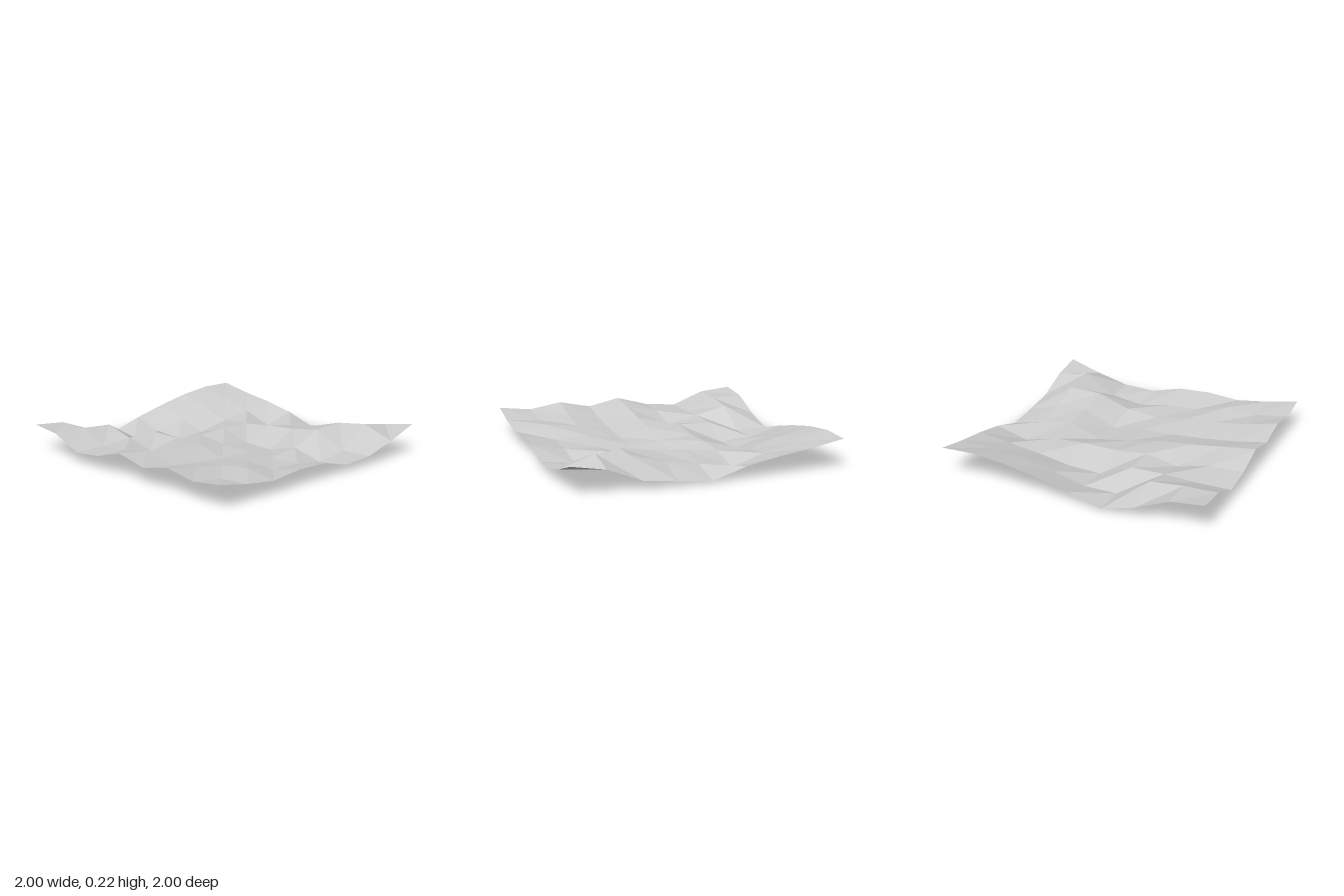
import * as THREE from 'three';

// Ground heights on a 9 x 9 grid, one row per step from back (-z) to front (+z)
const heights = [
  [0.20, 0.175, 0.075, 0.01, 0.085, 0.145, 0.195, 0.225, 0.22],
  [0.178, 0.175, 0.157, 0.01, 0.015, 0.08, 0.14, 0.16, 0.175],
  [0.083, 0.085, 0.10, 0.10, 0.0, 0.013, 0.063, 0.10, 0.14],
  [0.108, 0.105, 0.05, 0.10, 0.08, 0.09, 0.08, 0.02, 0.092],
  [0.178, 0.15, 0.12, 0.10, 0.055, 0.02, 0.11, 0.07, 0.015],
  [0.128, 0.09, 0.065, 0.05, 0.045, 0.013, 0.13, 0.11, 0.04],
  [0.182, 0.13, 0.10, 0.08, 0.05, 0.08, 0.17, 0.18, 0.07],
  [0.143, 0.11, 0.13, 0.07, 0.06, 0.02, 0.06, 0.215, 0.172],
  [0.175, 0.128, 0.097, 0.122, 0.113, 0.053, 0.066, 0.132, 0.216],
];

export function createModel() {
  const group = new THREE.Group();
  group.name = 'terrain';

  const stone = new THREE.MeshStandardMaterial({
    color: 0xcccccc, flatShading: true, side: THREE.DoubleSide,
  });
  stone.name = 'lightGrey';

  // Flat sheet laid on the ground, each vertex lifted to its height
  const n = heights.length;
  const geometry = new THREE.PlaneGeometry(2, 2, n - 1, n - 1).rotateX(-Math.PI / 2);
  const position = geometry.attributes.position;
  for (let i = 0; i < position.count; i++) {
    position.setY(i, heights[Math.floor(i / n)][i % n]);
  }

  // Separate faces give every triangle its own flat normal
  const faceted = geometry.toNonIndexed();
  faceted.computeVertexNormals();

  const ground = new THREE.Mesh(faceted, stone);
  ground.name = 'groundSurface';
  group.add(ground);
  return group;
}
